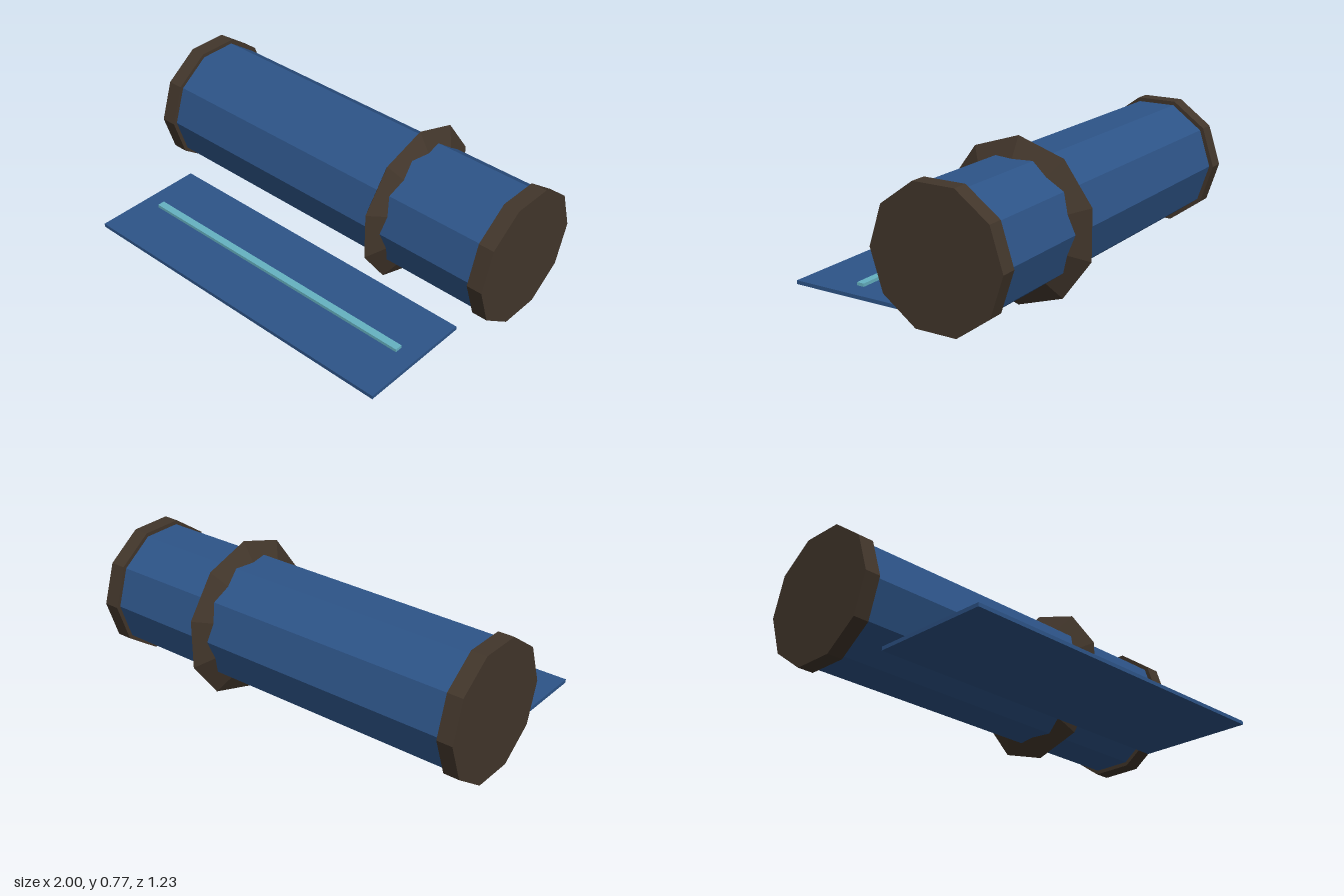
import * as THREE from 'three';

export function createModel() {
  const model = new THREE.Group();
  const paint = (color) => new THREE.MeshStandardMaterial({ color, flatShading: true });
  const blue = paint(0x2d5488);
  const brown = paint(0x42362b);
  const teal = paint(0x66b2c2);

  const sides = 10;
  const axisY = 0.385;
  const axisZ = -0.25;

  function add(name, geometry, material, x, y, z) {
    const mesh = new THREE.Mesh(geometry, material);
    mesh.name = name;
    mesh.position.set(x, y, z);
    model.add(mesh);
  }

  // Ten-sided drum lying along x, with flats at top and bottom
  const drum = (radius, length) =>
    new THREE.CylinderGeometry(radius, radius, length, sides).rotateZ(Math.PI / 2);

  // Case body and its two end caps
  add('caseBody', drum(0.307, 1.88), blue, 0, axisY, axisZ);
  for (const side of [-1, 1]) {
    add(side > 0 ? 'leftEndCap' : 'rightEndCap', drum(0.327, 0.077), brown, side * 0.9615, axisY, axisZ);
  }

  // Strap with a three-sided section, its corners over the flats of the body
  const strap = new THREE.TorusGeometry(0.307, 0.078, 3, sides)
    .rotateZ(Math.PI / 2)
    .rotateY(Math.PI / 2);
  add('strap', strap, brown, 0.385, axisY, axisZ);

  // Flat sheet in front of the case, with a raised stripe
  add('sheet', new THREE.BoxGeometry(1.73, 0.018, 0.576), blue, 0, 0.081, 0.328);
  add('stripe', new THREE.BoxGeometry(1.54, 0.02, 0.037), teal, 0, 0.0955, 0.329);

  return model;
}
